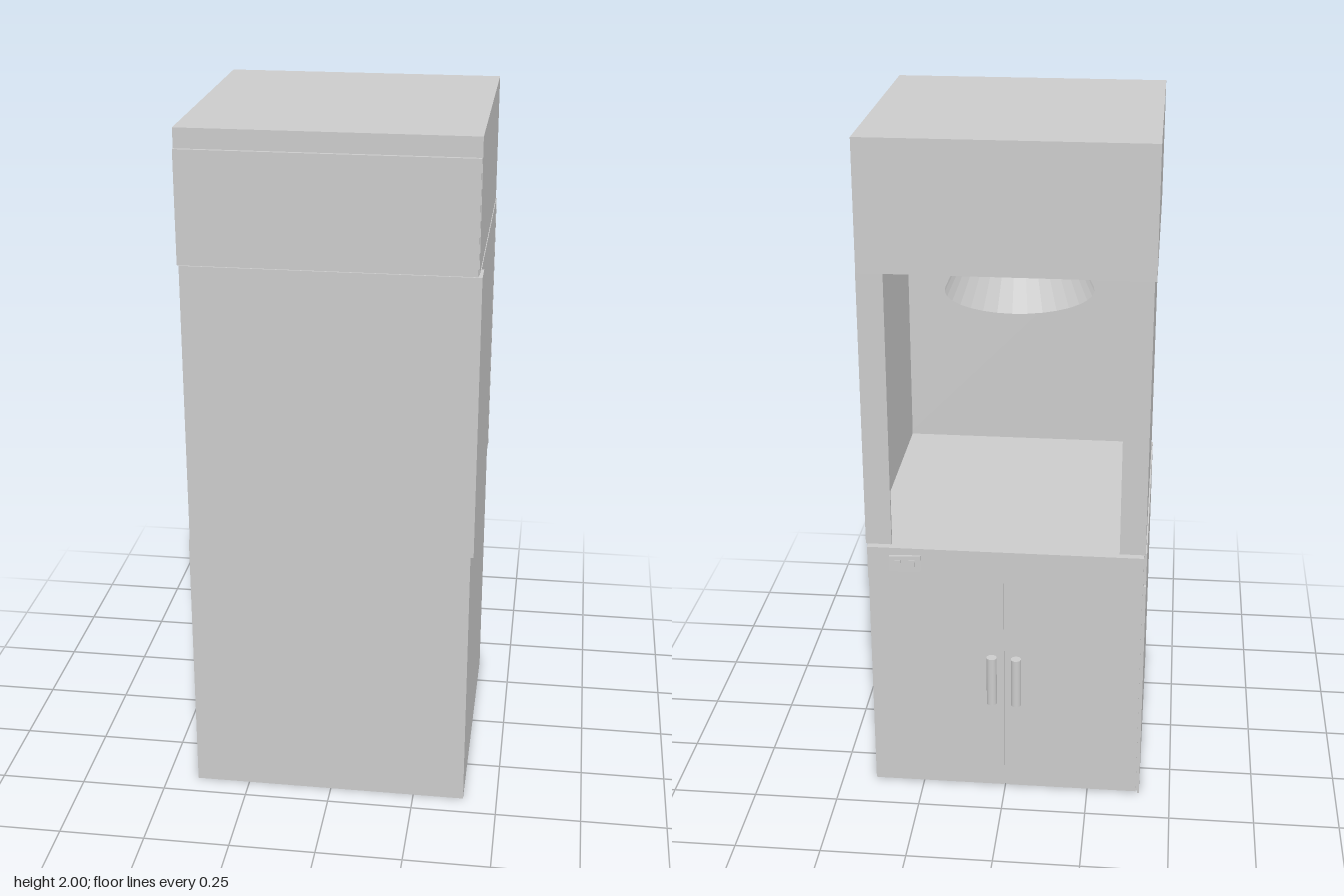
import * as THREE from 'three';

export function createModel() {
  const model = new THREE.Group();
  const grey = new THREE.MeshStandardMaterial({ color: 0xcccccc, flatShading: true });
  const thin = new THREE.MeshStandardMaterial({ color: 0xcccccc, flatShading: true, side: THREE.DoubleSide });
  const smooth = new THREE.MeshStandardMaterial({ color: 0xcccccc });

  // Box given by its limits on each axis
  function box(name, [x0, x1], [y0, y1], [z0, z1], parent = model) {
    const mesh = new THREE.Mesh(new THREE.BoxGeometry(x1 - x0, y1 - y0, z1 - z0), grey);
    mesh.position.set((x0 + x1) / 2, (y0 + y1) / 2, (z0 + z1) / 2);
    mesh.name = name;
    parent.add(mesh);
    return mesh;
  }

  // Base cupboard, with two doors on the working side
  box('baseCabinet', [-0.408, 0.4], [0, 0.81], [-0.37, 0.433]);
  box('sidePanelRight', [-0.408, -0.402], [0, 0.71], [-0.382, -0.37]);
  box('doorRight', [-0.398, -0.003], [0.005, 0.7], [-0.382, -0.37]);
  box('doorLeft', [0.003, 0.395], [0.005, 0.7], [-0.382, -0.37]);
  box('counterFascia', [-0.4, 0.396], [0.71, 0.81], [-0.401, -0.37]);

  // Door handles: an upright bar on two short pins
  for (const [x, z] of [[-0.037, -0.425], [0.035, -0.422]]) {
    const handle = new THREE.Group();
    handle.name = 'doorHandle';
    const bar = new THREE.Mesh(new THREE.CylinderGeometry(0.015, 0.015, 0.155, 20), smooth);
    bar.position.set(x, 0.397, z);
    bar.name = 'handleBar';
    handle.add(bar);
    for (const y of [0.355, 0.43]) {
      const pin = new THREE.Mesh(new THREE.CylinderGeometry(0.004, 0.004, 0.05, 10), smooth);
      pin.rotation.x = Math.PI / 2;
      pin.position.set(x, y, -0.4);
      pin.name = 'handlePin';
      handle.add(pin);
    }
    model.add(handle);
  }

  // Switch plate with two buttons
  const control = new THREE.Group();
  control.name = 'switch';
  control.position.set(0.286, 0.765, -0.407);
  control.rotation.y = 0.07;
  box('switchPlate', [-0.045, 0.045], [-0.024, 0.024], [-0.004, 0.005], control);
  for (const x of [-0.02, 0.02]) {
    box('switchButton', [x - 0.009, x + 0.009], [-0.013, 0.013], [-0.008, 0], control);
  }
  model.add(control);

  // Open work bay: thin walls on three sides
  const bayY = [0.81, 1.63];
  box('bayWallRight', [-0.404, -0.394], bayY, [-0.378, 0.437]);
  box('bayWallLeft', [0.39, 0.402], bayY, [-0.378, 0.437]);
  box('bayFrontWall', [-0.404, 0.402], bayY, [0.427, 0.438]);

  // Posts framing the opening and a cover strip on the front corner
  box('openingPostRight', [-0.404, -0.33], bayY, [-0.379, -0.368]);
  box('openingPostLeft', [0.328, 0.403], bayY, [-0.379, -0.368]);
  box('cornerStrip', [0.4, 0.409], bayY, [0.361, 0.439]);

  // Upper housing with a front panel
  box('upperHousing', [-0.41, 0.4], [1.63, 2], [-0.391, 0.423]);
  box('upperFrontPanel', [-0.41, 0.398], [1.63, 1.945], [0.423, 0.433]);

  // Conical extraction hood hanging from the bay ceiling
  const hood = new THREE.Mesh(new THREE.CylinderGeometry(0.14, 0.22, 0.17, 32, 1, true), thin);
  hood.position.set(-0.005, 1.545, 0.025);
  hood.name = 'extractionHood';
  model.add(hood);

  return model;
}
